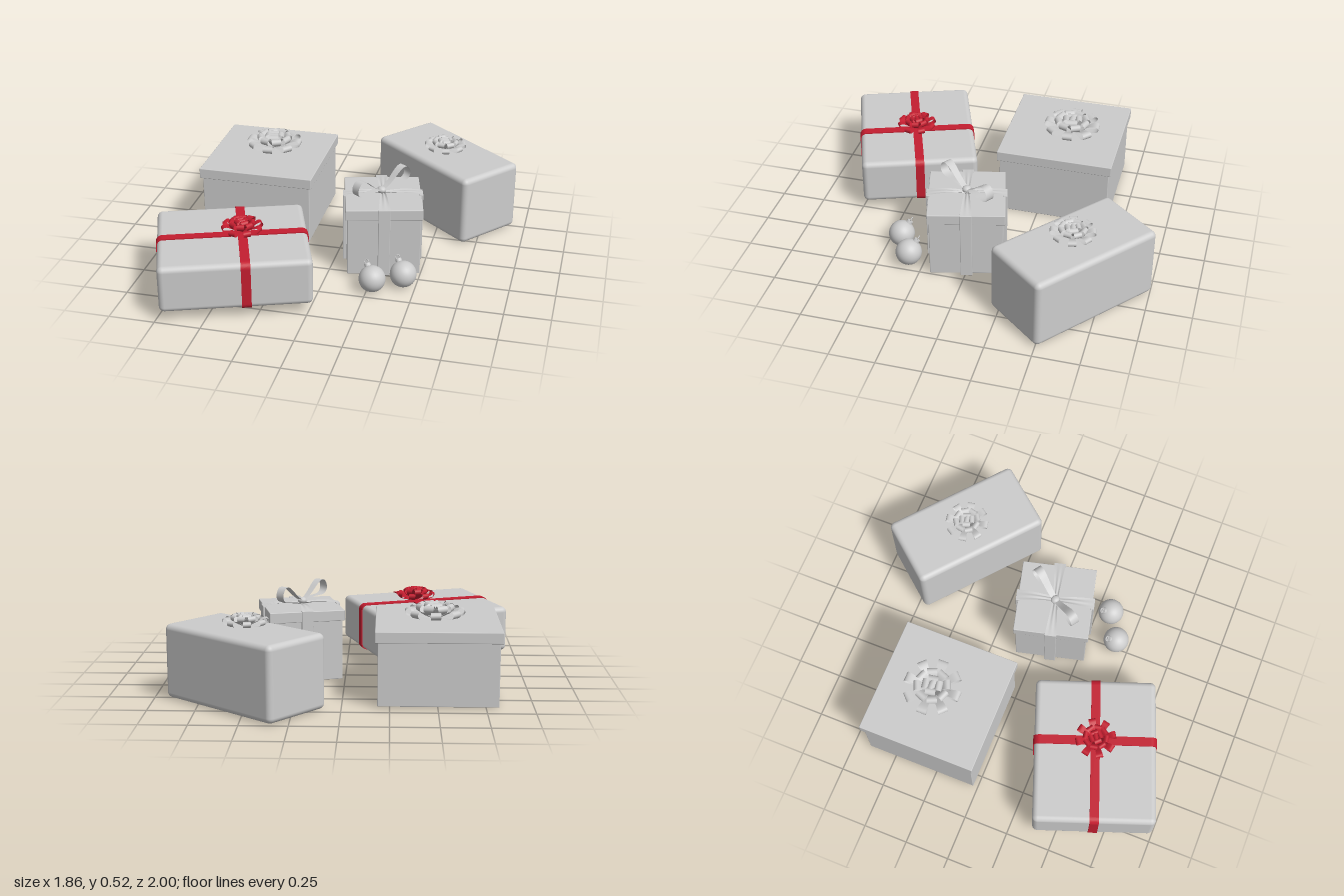
import * as THREE from 'three';
import { RoundedBoxGeometry } from 'three/addons/geometries/RoundedBoxGeometry.js';

const rad = THREE.MathUtils.degToRad;
const grey = new THREE.MeshStandardMaterial({ color: 0xcccccc, side: THREE.DoubleSide });
grey.name = 'paper grey';
const red = new THREE.MeshStandardMaterial({ color: 0xc41e30, side: THREE.DoubleSide });
red.name = 'ribbon red';

function add(parent, name, geometry, material, x = 0, y = 0, z = 0) {
  const mesh = new THREE.Mesh(geometry, material);
  mesh.name = name;
  mesh.position.set(x, y, z);
  parent.add(mesh);
  return mesh;
}

function addGroup(parent, name, x, y, z, turn = 0) {
  const group = new THREE.Group();
  group.name = name;
  group.position.set(x, y, z);
  group.rotation.y = rad(turn);
  parent.add(group);
  return group;
}

// Closed teardrop band pointing along +x; its width grows from w0 to w1
function loopGeometry(length, thick, w0, w1) {
  const geo = new THREE.PlaneGeometry(1, 1, 1, 24);
  const p = geo.attributes.position;
  for (let i = 0; i < p.count; i++) {
    const u = (p.getY(i) + 0.5) * Math.PI;
    const s = Math.sin(u);
    p.setXYZ(i, length * s, thick * 0.65 * Math.sin(2 * u) * s, p.getX(i) * (w0 + (w1 - w0) * s));
  }
  geo.computeVertexNormals();
  return geo;
}

// Star bow: rings of folded loops, steeper and shorter toward the centre
function addStarBow(parent, material, R, x, y, z, turn = 0, stretch = 1) {
  const bow = addGroup(parent, 'starBow', x, y, z, turn);
  bow.scale.y = stretch;
  const tiers = [
    { n: 8, length: 1, lift: 16, offset: 0 },
    { n: 8, length: 0.74, lift: 38, offset: 22.5 },
    { n: 4, length: 0.58, lift: 62, offset: 10 },
  ];
  for (const t of tiers) {
    const geo = loopGeometry(R * t.length, R * 0.24, R * 0.1, R * 0.34);
    for (let i = 0; i < t.n; i++) {
      const petal = add(bow, 'bowLoop', geo, material, 0, R * 0.06, 0);
      petal.rotation.set(0, rad(t.offset) + (i / t.n) * Math.PI * 2, rad(t.lift));
    }
  }
  const centre = add(bow, 'bowCentre', new THREE.CylinderGeometry(R * 0.13, R * 0.13, R * 0.32, 14, 1, true),
    material, 0, R * 0.46, 0);
  centre.rotation.z = Math.PI / 2;
}

function roundRect(target, w, h, r) {
  const a = w / 2, b = h / 2;
  target.moveTo(-a + r, -b);
  target.lineTo(a - r, -b);
  target.absarc(a - r, -b + r, r, -Math.PI / 2, 0);
  target.lineTo(a, b - r);
  target.absarc(a - r, b - r, r, 0, Math.PI / 2);
  target.lineTo(-a + r, b);
  target.absarc(-a + r, b - r, r, Math.PI / 2, Math.PI);
  target.lineTo(-a, -b + r);
  target.absarc(-a + r, -b + r, r, Math.PI, Math.PI * 1.5);
  return target;
}

// Flat ribbon wrapped round a w by h section, centred on z
function bandGeometry(w, h, r, width) {
  const t = 0.006;
  const shape = roundRect(new THREE.Shape(), w + 2 * t, h + 2 * t, r + t);
  shape.holes.push(roundRect(new THREE.Path(), w - 0.004, h - 0.004, r));
  const geo = new THREE.ExtrudeGeometry(shape, { depth: width, bevelEnabled: false, curveSegments: 6 });
  return geo.translate(0, 0, -width / 2);
}

// Gathered ribbon on the lid: narrow at the middle, wide and flat at the edge
function gatheredStrip(length, w0, w1) {
  const geo = new THREE.PlaneGeometry(1, 1, 8, 10).rotateX(-Math.PI / 2);
  const p = geo.attributes.position;
  for (let i = 0; i < p.count; i++) {
    const s = p.getX(i) + 0.5, v = p.getZ(i);
    const fold = 0.004 * (1 - s) * Math.cos(v * Math.PI * 4);
    p.setXYZ(i, length * s, 0.006 + 0.01 * Math.sin(Math.PI * s) + fold, v * (w0 + (w1 - w0) * s));
  }
  geo.computeVertexNormals();
  return geo;
}

function addLiddedBox(parent, bodySize, lidSize, top) {
  const bottom = 0.005, lidHeight = 0.06;
  const bodyHeight = top - 0.02 - bottom;
  add(parent, 'boxBody', new RoundedBoxGeometry(bodySize, bodyHeight, bodySize, 2, 0.004), grey,
    0, bottom + bodyHeight / 2, 0);
  add(parent, 'boxLid', new RoundedBoxGeometry(lidSize, lidHeight, lidSize, 2, 0.004), grey,
    0, top - lidHeight / 2, 0);
}

export function createModel() {
  const model = new THREE.Group();
  model.name = 'giftPile';

  // Large lidded box
  const large = addGroup(model, 'largeLiddedGift', -0.502, 0, -0.342);
  addLiddedBox(large, 0.632, 0.66, 0.405);
  addStarBow(large, grey, 0.165, 0.014, 0.405, -0.04);

  // Flat box wrapped with red ribbon
  const flat = addGroup(model, 'redRibbonGift', -0.455, 0.19, 0.555, 20);
  const W = 0.8, H = 0.262, D = 0.665;
  add(flat, 'wrappedBox', new RoundedBoxGeometry(W, H, D, 4, 0.03), grey);
  add(flat, 'longRibbon', bandGeometry(W, H, 0.03, 0.05), red);
  add(flat, 'crossRibbon', bandGeometry(D, H, 0.03, 0.05), red, 0.053).rotation.y = Math.PI / 2;
  addStarBow(flat, red, 0.115, 0.053, H / 2 + 0.005, 0, 12, 1.2);

  // Tall wrapped box
  const tall = addGroup(model, 'tallGift', 0.508, 0.205, -0.604, -40);
  add(tall, 'wrappedBox', new RoundedBoxGeometry(0.785, 0.4, 0.411, 4, 0.03), grey);
  addStarBow(tall, grey, 0.125, 0, 0.2, 0.015, 50);

  // Small lidded box with grey ribbon
  const small = addGroup(model, 'smallLiddedGift', 0.255, 0, 0.044, 14);
  addLiddedBox(small, 0.4, 0.42, 0.4);
  const stripGeo = new RoundedBoxGeometry(0.022, 0.4, 0.065, 2, 0.003);
  const topGeo = gatheredStrip(0.22, 0.025, 0.065);
  for (let i = 0; i < 4; i++) {
    const side = addGroup(small, 'ribbonSide', 0, 0, 0, i * 90);
    add(side, 'sideRibbon', stripGeo, grey, 0.21, 0.205, 0);
    add(side, 'lidRibbon', topGeo, grey, 0, 0.4, 0);
  }
  const bow = addGroup(small, 'loopBow', -0.008, 0.423, 0, 41);
  for (const turn of [0, Math.PI]) {
    const loop = add(bow, 'bowLoop', loopGeometry(0.205, 0.085, 0.03, 0.05), grey);
    loop.rotation.set(0, turn, rad(20));
  }
  add(bow, 'bowKnot', new THREE.SphereGeometry(0.024, 16, 10), grey).scale.set(1, 0.8, 1.1);

  // Round ornaments with tilted cap and hanging ring
  const up = new THREE.Vector3(0, 1, 0);
  const tilt = new THREE.Vector3(-0.036, 0.066, -0.04).normalize();
  for (const [x, z] of [[0.278, 0.42], [0.431, 0.331]]) {
    const ornament = addGroup(model, 'ornament', x, 0.073, z);
    ornament.quaternion.setFromUnitVectors(up, tilt);
    add(ornament, 'ball', new THREE.SphereGeometry(0.073, 32, 20), grey);
    add(ornament, 'cap', new THREE.CylinderGeometry(0.017, 0.018, 0.02, 16), grey, 0, 0.077, 0);
    add(ornament, 'hangingRing', new THREE.TorusGeometry(0.012, 0.003, 8, 16), grey, 0, 0.097, 0);
  }

  return model;
}
